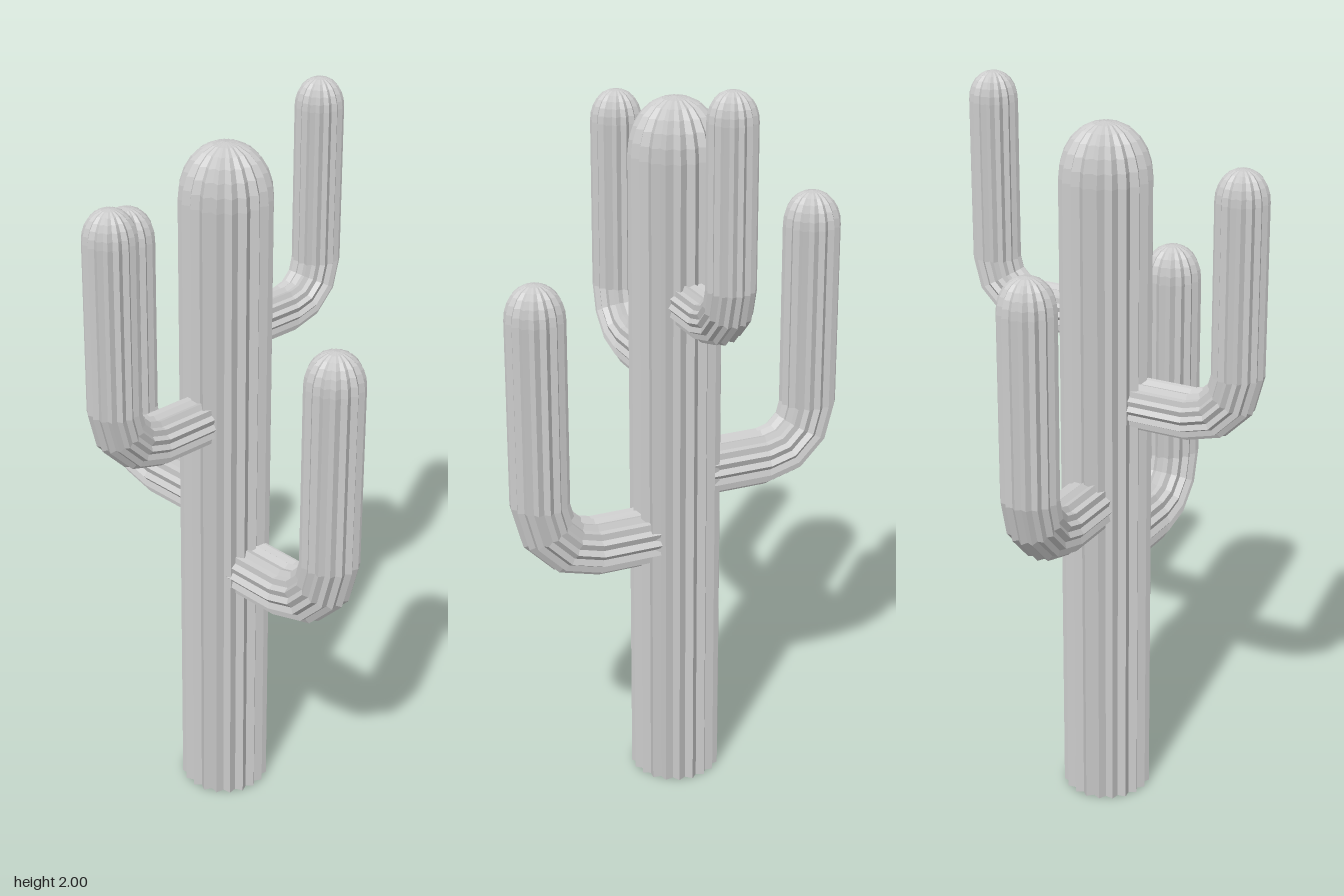
import * as THREE from 'three';

const material = new THREE.MeshStandardMaterial({ color: 0xcccccc, flatShading: true });
const UP = new THREE.Vector3(0, 1, 0);

// Skin star-shaped rings; each ring has a centre, two axes, a radius and a groove depth.
function ribbedSkin(rings, ribs) {
  const n = ribs * 2, pos = [], index = [];
  for (const { p, normal, side, r, groove } of rings) {
    for (let j = 0; j < n; j++) {
      const a = (j / n) * Math.PI * 2;
      const rad = r * (j % 2 ? 1 - groove : 1);
      const v = p.clone().addScaledVector(normal, Math.cos(a) * rad).addScaledVector(side, Math.sin(a) * rad);
      pos.push(v.x, v.y, v.z);
    }
  }
  for (let i = 0; i < rings.length - 1; i++) {
    for (let j = 0; j < n; j++) {
      const k = (j + 1) % n, a = i * n, b = a + n;
      if (rings[i].r > 0) index.push(a + j, a + k, b + j);
      if (rings[i + 1].r > 0) index.push(a + k, b + k, b + j);
    }
  }
  const geo = new THREE.BufferGeometry();
  geo.setAttribute('position', new THREE.Float32BufferAttribute(pos, 3));
  geo.setIndex(index);
  const flat = geo.toNonIndexed();
  flat.computeVertexNormals();
  return flat;
}

// Rounded tip closing a vertical stem at height top.
function addDome(rings, base, normal, side, r, top, groove) {
  const h = r * 1.2, steps = 6;
  for (let i = 0; i <= steps; i++) {
    const a = (i / steps) * Math.PI / 2;
    rings.push({
      p: new THREE.Vector3(base.x, top - h + h * Math.sin(a), base.z), normal, side,
      r: i === steps ? 0 : r * Math.pow(Math.cos(a), 0.9), groove,
    });
  }
}

function makeTrunk(x, r, top) {
  const normal = new THREE.Vector3(0, 0, 1), side = new THREE.Vector3(1, 0, 0);
  const p = new THREE.Vector3(x, 0, 0);
  const rings = [0, r].map((rad) => ({ p, normal, side, r: rad, groove: 0.12 }));
  addDome(rings, p, normal, side, r, top, 0.12);
  return ribbedSkin(rings, 20);
}

// Arm leaving the trunk along dir, bending upwards to a rounded tip.
function makeArm({ origin, dir, reach, y, r, bend, top }) {
  const d = new THREE.Vector3(...dir), side = d.clone().cross(UP);
  const start = new THREE.Vector3(origin, y, 0);
  const groove = 0.13, segments = 3, rings = [];
  const add = (along, up, angle, rad) => rings.push({
    p: start.clone().addScaledVector(d, along).addScaledVector(UP, up),
    normal: d.clone().multiplyScalar(-Math.sin(angle)).addScaledVector(UP, Math.cos(angle)),
    side, r: rad, groove,
  });
  add(0.05, 0, 0, 0);
  add(0.05, 0, 0, r);
  for (let i = 0; i <= segments; i++) {
    const a = (i / segments) * Math.PI / 2;
    add(reach - bend + bend * Math.sin(a), bend * (1 - Math.cos(a)), a, r);
  }
  const last = rings[rings.length - 1];
  addDome(rings, last.p, last.normal, side, r, top, groove);
  return ribbedSkin(rings, 16);
}

export function createModel() {
  const cactus = new THREE.Group();
  cactus.name = 'cactus';
  const add = (name, geometry) => {
    const mesh = new THREE.Mesh(geometry, material);
    mesh.name = name;
    cactus.add(mesh);
  };

  const cx = 0.028;
  add('trunk', makeTrunk(cx, 0.121, 1.91));

  const arms = {
    frontArm: { origin: 0.033, dir: [0, 0, 1], reach: 0.388, y: 0.72, r: 0.079, bend: 0.15, top: 1.475 },
    backArm: { origin: 0.033, dir: [0, 0, -1], reach: 0.39, y: 0.89, r: 0.076, bend: 0.14, top: 1.62 },
    rightArm: { origin: cx, dir: [-1, 0, 0], reach: 0.38, y: 1.17, r: 0.069, bend: 0.13, top: 1.84 },
    leftArm: { origin: cx, dir: [1, 0, 0], reach: 0.326, y: 1.392, r: 0.063, bend: 0.115, top: 2 },
  };
  for (const [name, spec] of Object.entries(arms)) add(name, makeArm(spec));
  return cactus;
}
